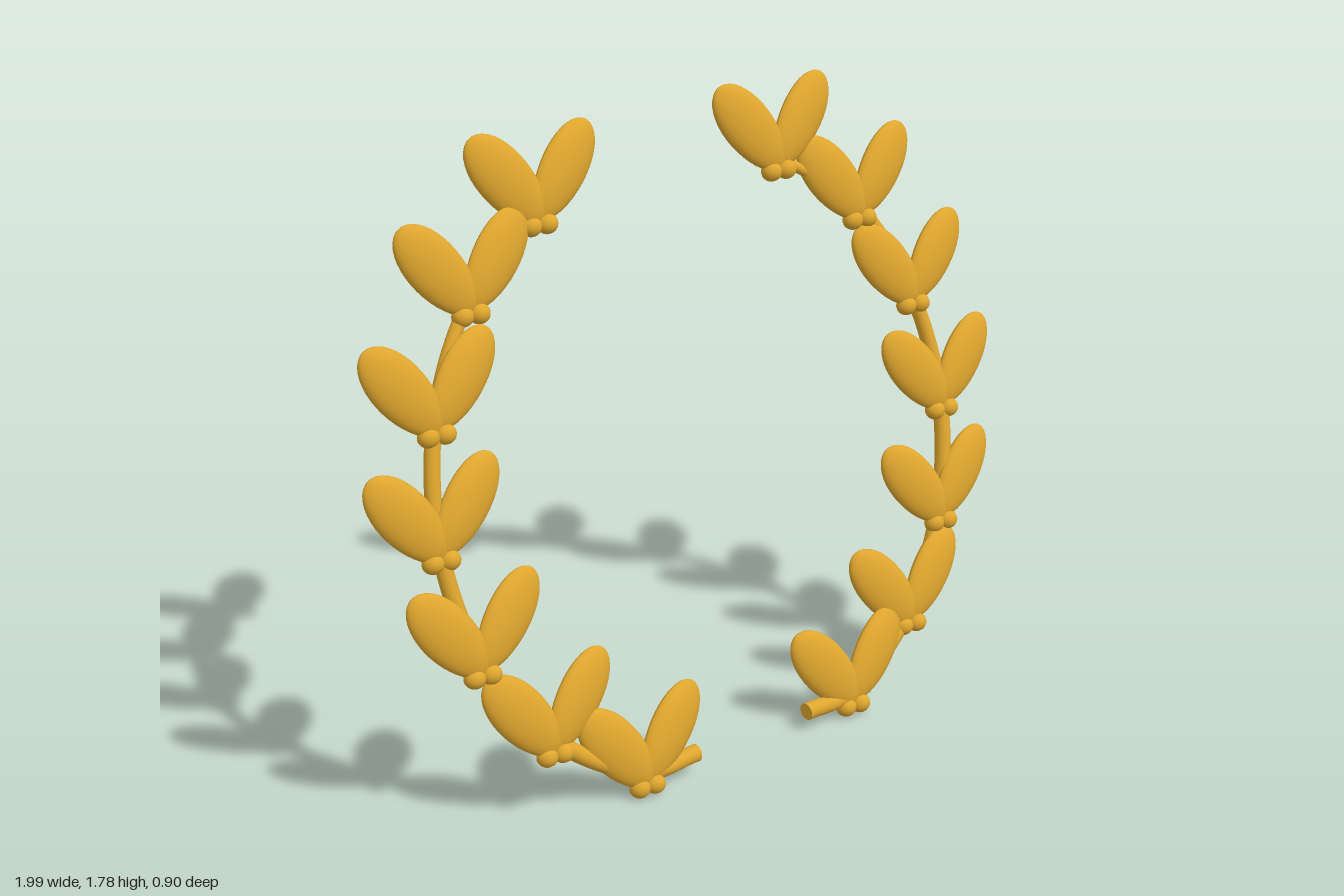
import * as THREE from 'three';

const gold = new THREE.MeshStandardMaterial({ color: 0xdfa62e });

// Foot of every leaf pair, from the top of the branch to the bottom: [x, y, z]
const rightFeet = [
  [-0.445, 1.505, 0.0], [-0.66, 1.325, 0.13], [-0.785, 1.055, 0.253], [-0.805, 0.745, 0.347],
  [-0.72, 0.43, 0.405], [-0.535, 0.17, 0.413], [-0.27, 0.005, 0.371],
];
const leftFeet = [
  [0.305, 1.505, -0.275], [0.565, 1.325, -0.32], [0.73, 1.055, -0.303], [0.805, 0.745, -0.238],
  [0.775, 0.43, -0.139], [0.64, 0.17, -0.02], [0.42, 0.005, 0.11],
];

// Flattened, slightly egg-shaped leaf; side is -1 or 1, slope turns it about the vertical
function leafGeometry(side, slope) {
  const lean = 0.19;
  const geo = new THREE.SphereGeometry(1, 28, 20);
  const p = geo.attributes.position;
  for (let i = 0; i < p.count; i++) {
    const taper = 1 + 0.08 * p.getY(i);
    p.setXYZ(i, p.getX(i) * 0.074 * taper, p.getY(i) * 0.15, p.getZ(i) * 0.032 * taper);
  }
  geo.computeVertexNormals();
  const normal = new THREE.Vector3(slope, lean, 1).normalize();
  const along = new THREE.Vector3(side * 0.616, 0.788, -slope * side * 0.616 - lean * 0.788).normalize();
  const across = new THREE.Vector3().crossVectors(along, normal);
  const m = new THREE.Matrix4().makeBasis(across, along, normal);
  const x = side * 0.083, y = 0.152;
  m.setPosition(x, y, -slope * x - lean * y);
  return geo.applyMatrix4(m);
}

// Round stem that thins toward the top
function taperedTube(curve, segments, sides, radiusAt) {
  const geo = new THREE.TubeGeometry(curve, segments, 1, sides, false);
  const p = geo.attributes.position;
  const v = new THREE.Vector3();
  for (let i = 0; i <= segments; i++) {
    const t = i / segments;
    const c = curve.getPointAt(t);
    for (let j = 0; j <= sides; j++) {
      const k = i * (sides + 1) + j;
      v.fromBufferAttribute(p, k).sub(c).multiplyScalar(radiusAt(t)).add(c);
      p.setXYZ(k, v.x, v.y, v.z);
    }
  }
  return geo;
}

function add(parent, geo, name) {
  const mesh = new THREE.Mesh(geo, gold);
  mesh.name = name;
  parent.add(mesh);
  return mesh;
}

export function createModel() {
  const model = new THREE.Group();
  model.name = 'laurelWreath';

  const outerLeaf = leafGeometry(-1, 0.2);
  const innerLeaf = leafGeometry(1, 0.5);
  const lobe = new THREE.SphereGeometry(1, 16, 12).scale(0.03, 0.028, 0.026);

  function branch(name, feet, stubEnd) {
    const group = new THREE.Group();
    group.name = name;
    model.add(group);

    // Leaf pairs, each with two small lobes at its foot
    feet.forEach((foot, i) => {
      const pair = new THREE.Group();
      pair.name = `leafPair${i + 1}`;
      pair.position.set(...foot);
      add(pair, outerLeaf, 'rightLeaf');
      add(pair, innerLeaf, 'leftLeaf');
      for (const s of [-1, 1]) {
        add(pair, lobe, 'leafFoot').position.set(s * 0.023, 0.026, -0.006 - s * 0.006);
      }
      group.add(pair);
    });

    // Stem running behind the leaf feet, from the cut end up to the top pair
    const points = [new THREE.Vector3(...stubEnd)];
    for (const [x, y, z] of [...feet].reverse()) points.push(new THREE.Vector3(x, y + 0.06, z - 0.027));
    const curve = new THREE.CatmullRomCurve3(points);
    const radiusAt = (t) => 0.025 - 0.011 * t * t * t;
    add(group, taperedTube(curve, 90, 14, radiusAt), 'stem');

    // Flat cut end and rounded tip of the stem
    const cut = add(group, new THREE.CircleGeometry(radiusAt(0), 14), 'stemCut');
    cut.position.copy(points[0]);
    cut.quaternion.setFromUnitVectors(new THREE.Vector3(0, 0, 1), curve.getTangentAt(0).negate());
    add(group, new THREE.SphereGeometry(radiusAt(1), 14, 10), 'stemTip').position.copy(points[points.length - 1]);
  }

  branch('rightBranch', rightFeet, [-0.105, 0.06, 0.28]);
  branch('leftBranch', leftFeet, [0.26, 0.06, 0.152]);
  return model;
}
